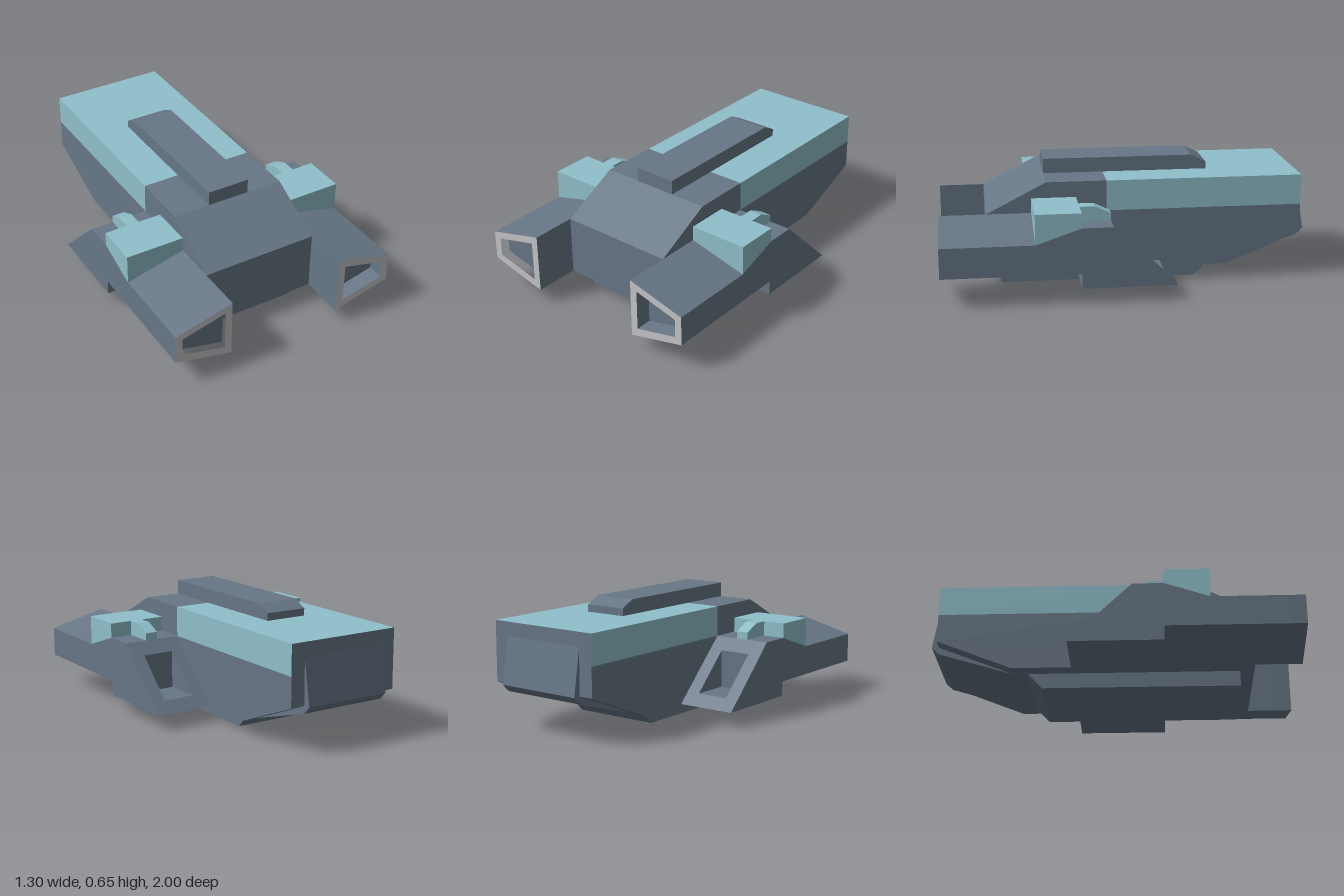
import * as THREE from 'three';
import { ConvexGeometry } from 'three/addons/geometries/ConvexGeometry.js';

const material = (name, color) => {
  const m = new THREE.MeshStandardMaterial({ color });
  m.name = name;
  return m;
};

export function createModel() {
  const hull = material('slate hull', 0x677686);
  const teal = material('pale teal', 0x8fc0cb);
  const rim = material('light grey rim', 0xc6c6c9);
  const model = new THREE.Group();

  const add = (parent, name, geometry, mat) => {
    const mesh = new THREE.Mesh(geometry, mat);
    mesh.name = name;
    parent.add(mesh);
    return mesh;
  };
  const outline = (points) => new THREE.Shape(points.map(([a, b]) => new THREE.Vector2(a, b)));

  // Side profile of [z, y] points, extruded across x from x0 to x1
  const slab = (points, x0, x1) => {
    const g = new THREE.ExtrudeGeometry(outline(points), { depth: Math.abs(x1 - x0), bevelEnabled: false });
    return g.rotateY(-Math.PI / 2).translate(Math.max(x0, x1), 0, 0);
  };

  // Main body, roof shell, roof rail, keel and rear ramp
  add(model, 'body', slab([[0.75, 0.085], [0.75, 0.41], [0.43, 0.575], [0.105, 0.575],
    [0.105, 0.41], [-0.96, 0.41], [-0.96, 0.25], [-0.55, 0.085]], -0.325, 0.325), hull);
  add(model, 'roofShell', new THREE.BoxGeometry(0.65, 0.165, 1.065).translate(0, 0.4925, -0.4275),
    [teal, teal, teal, teal, teal, hull]);
  add(model, 'roofRail', slab([[0.43, 0.575], [0.43, 0.655], [-0.39, 0.655],
    [-0.47, 0.615], [-0.47, 0.575]], -0.12, 0.12), hull);
  add(model, 'keel', slab([[0.675, 0], [0.675, 0.085], [-0.47, 0.085], [-0.39, 0]], -0.245, 0.245), hull);
  add(model, 'rearRamp', slab([[-0.55, 0.085], [-0.96, 0.21], [-1, 0.25], [-0.96, 0.5], [-0.6, 0.3]],
    -0.245, 0.245), hull);

  for (const s of [1, -1]) {
    const side = new THREE.Group();
    side.name = s > 0 ? 'leftNacelle' : 'rightNacelle';
    model.add(side);

    // Tapered front section with a hollow, framed mouth
    const mirror = (points) => points.map(([x, y]) => [s * x, y]);
    const section = mirror([[0.325, 0.085], [0.65, 0.165], [0.65, 0.328], [0.325, 0.41]]);
    const opening = mirror([[0.365, 0.138], [0.61, 0.197], [0.61, 0.298], [0.365, 0.36]]);
    const ring = outline(section);
    ring.holes.push(outline(opening));
    add(side, 'mouth', new THREE.ExtrudeGeometry(ring, { depth: 0.09, bevelEnabled: false })
      .translate(0, 0, 0.91), [rim, hull]);
    add(side, 'arm', new THREE.ExtrudeGeometry(outline(section), { depth: 0.64, bevelEnabled: false })
      .translate(0, 0, 0.27), hull);

    // Wedge rising from the arm to the rear block, and the pod resting on it
    const solid = (points) => new ConvexGeometry(points.map(([x, y, z]) => new THREE.Vector3(s * x, y, z)));
    const seat = [[0.325, 0.41, 0.51], [0.325, 0.41, 0.27], [0.65, 0.41, 0.27], [0.65, 0.328, 0.51]];
    add(side, 'wedge', solid([...seat, [0.65, 0.328, 0.27]]), hull);
    add(side, 'pod', solid([...seat, [0.325, 0.49, 0.51], [0.65, 0.49, 0.51],
      [0.325, 0.49, 0.27], [0.65, 0.49, 0.27]]), teal);
    add(side, 'podNeck', slab([[0.27, 0.41], [0.27, 0.49], [0.19, 0.49], [0.105, 0.45], [0.105, 0.41]],
      s * 0.455, s * 0.525), teal);

    // Rear block with a slanted back and a notch cut into it
    const full = [[0.27, 0.085], [0.27, 0.41], [0.105, 0.41], [-0.23, 0.085]];
    const notched = [[0.27, 0.085], [0.27, 0.41], [0.105, 0.41], [0.04, 0.347],
      [0.04, 0.143], [-0.17, 0.143], [-0.23, 0.085]];
    add(side, 'rearBlockInner', slab(full, s * 0.325, s * 0.4), hull);
    add(side, 'rearBlockNotch', slab(notched, s * 0.4, s * 0.575), hull);
    add(side, 'rearBlockOuter', slab(full, s * 0.575, s * 0.65), hull);
  }
  return model;
}
